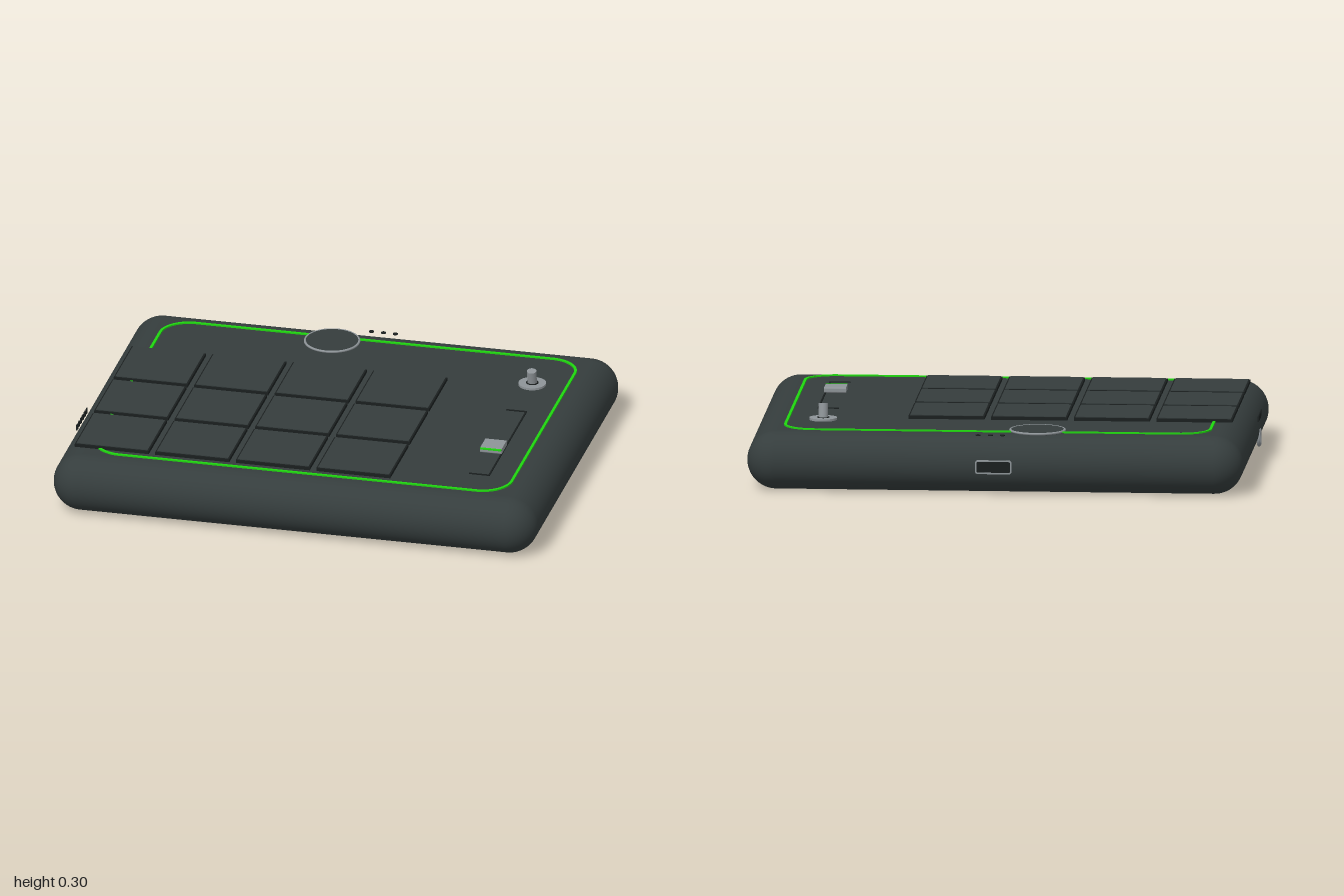
import * as THREE from 'three';
import { RoundedBoxGeometry } from 'three/addons/geometries/RoundedBoxGeometry.js';

const mat = (name, color) => {
  const m = new THREE.MeshStandardMaterial({ color });
  m.name = name;
  return m;
};

// Rounded rectangle outline centred on the origin
function roundRect(Type, w, h, r) {
  const s = new Type(), x = w / 2, y = h / 2;
  s.moveTo(-x + r, -y);
  s.lineTo(x - r, -y);
  s.absarc(x - r, -y + r, r, -Math.PI / 2, 0, false);
  s.lineTo(x, y - r);
  s.absarc(x - r, y - r, r, 0, Math.PI / 2, false);
  s.lineTo(-x + r, y);
  s.absarc(-x + r, y - r, r, Math.PI / 2, Math.PI, false);
  s.lineTo(-x, -y + r);
  s.absarc(-x + r, -y + r, r, Math.PI, Math.PI * 1.5, false);
  return s;
}

// Hollow rounded frame, extruded along +z
function frameGeometry(w, h, r, line, depth) {
  const s = roundRect(THREE.Shape, w, h, r);
  s.holes.push(roundRect(THREE.Path, w - 2 * line, h - 2 * line, r - line));
  return new THREE.ExtrudeGeometry(s, { depth, bevelEnabled: false, curveSegments: 12 });
}

export function createModel() {
  const shell = mat('charcoal shell', 0x353d3d);
  const dark = mat('dark trim', 0x1a1f1f);
  const green = mat('bright green', 0x1fd60f);
  const grey = mat('metal grey', 0x8e9498);

  const root = new THREE.Group();
  root.name = 'padController';
  const add = (name, geo, m, x, y, z, parent = root) => {
    const mesh = new THREE.Mesh(geo, m);
    mesh.name = name;
    mesh.position.set(x, y, z);
    parent.add(mesh);
    return mesh;
  };
  const box = (name, w, h, d, m, x, y, z, parent) =>
    add(name, new THREE.BoxGeometry(w, h, d), m, x, y, z, parent);
  const disc = (name, r, h, m, x, y, z, parent) =>
    add(name, new THREE.CylinderGeometry(r, r, h, 40), m, x, y, z, parent);

  // Pillow-shaped case
  add('case', new RoundedBoxGeometry(2, 0.235, 1.59, 10, 0.1174), shell, 0, 0.1175, 0);

  // Green line around the top
  const line = add('greenBorder', frameGeometry(1.725, 1.325, 0.125, 0.011, 0.007), green, 0, 0.234, 0);
  line.rotation.x = -Math.PI / 2;

  // Grid of pads, each a dark slab with a lighter face
  const pads = new THREE.Group();
  pads.name = 'pads';
  root.add(pads);
  for (let row = 0; row < 3; row++) {
    for (let col = 0; col < 4; col++) {
      const x = -0.778 + col * 0.333, z = -0.203 + row * 0.333;
      box('padEdge', 0.306, 0.013, 0.31, dark, x, 0.2415, z, pads);
      box('padFace', 0.294, 0.004, 0.298, shell, x, 0.249, z, pads);
    }
  }

  // Round dial with a thin metal rim
  disc('dialFace', 0.108, 0.009, shell, -0.165, 0.239, -0.615);
  const rim = add('dialRim', new THREE.TorusGeometry(0.109, 0.005, 8, 64), grey, -0.165, 0.24, -0.615);
  rim.rotation.x = Math.PI / 2;

  // Three small indicator dots behind the dial
  for (const x of [-0.033, 0.016, 0.065]) disc('indicatorDot', 0.01, 0.004, dark, x, 0.237, -0.745);

  // Toggle switch: washer, socket and leaning lever
  const toggle = new THREE.Group();
  toggle.name = 'toggleSwitch';
  toggle.position.set(0.715, 0, -0.4);
  root.add(toggle);
  disc('washer', 0.056, 0.01, grey, 0, 0.239, 0, toggle);
  disc('socket', 0.025, 0.003, dark, 0, 0.2445, 0, toggle);
  const lever = disc('lever', 0.019, 0.062, grey, 0, 0.27, 0.005, toggle);
  lever.rotation.x = 0.2;

  // Slider: slot lines, cap and green marker
  const slider = new THREE.Group();
  slider.name = 'slider';
  root.add(slider);
  box('slotSide', 0.006, 0.006, 0.64, dark, 0.754, 0.236, 0.182, slider);
  box('slotBackEnd', 0.085, 0.006, 0.006, dark, 0.714, 0.236, -0.135, slider);
  box('slotFrontEnd', 0.085, 0.006, 0.006, dark, 0.714, 0.236, 0.499, slider);
  const cap = roundRect(THREE.Shape, 0.096, 0.022, 0.006);
  const capGeo = new THREE.ExtrudeGeometry(cap, { depth: 0.088, bevelEnabled: false });
  capGeo.translate(0, 0, -0.044).rotateY(Math.PI / 2);
  add('sliderCap', capGeo, grey, 0.713, 0.252, 0.254, slider);
  box('sliderMarker', 0.088, 0.006, 0.009, green, 0.713, 0.26, 0.303, slider);

  // Rectangular port in the back
  const backPort = add('backPortFrame', frameGeometry(0.146, 0.056, 0.01, 0.006, 0.008), grey, 0, 0.115, -0.799);
  backPort.rotation.y = 0;
  box('backPortOpening', 0.134, 0.044, 0.006, dark, 0, 0.115, -0.794);

  // Round jack in the side with a row of dashes above it
  const jack = add('jackRing', new THREE.TorusGeometry(0.03, 0.008, 10, 32), grey, -0.997, 0.082, 0.21);
  jack.rotation.y = Math.PI / 2;
  const hole = disc('jackHole', 0.028, 0.008, dark, -0.997, 0.082, 0.21);
  hole.rotation.z = Math.PI / 2;
  for (let i = 0; i < 6; i++) box('sideDash', 0.005, 0.022, 0.018, dark, -1, 0.17, 0.13 + i * 0.032);

  return root;
}
